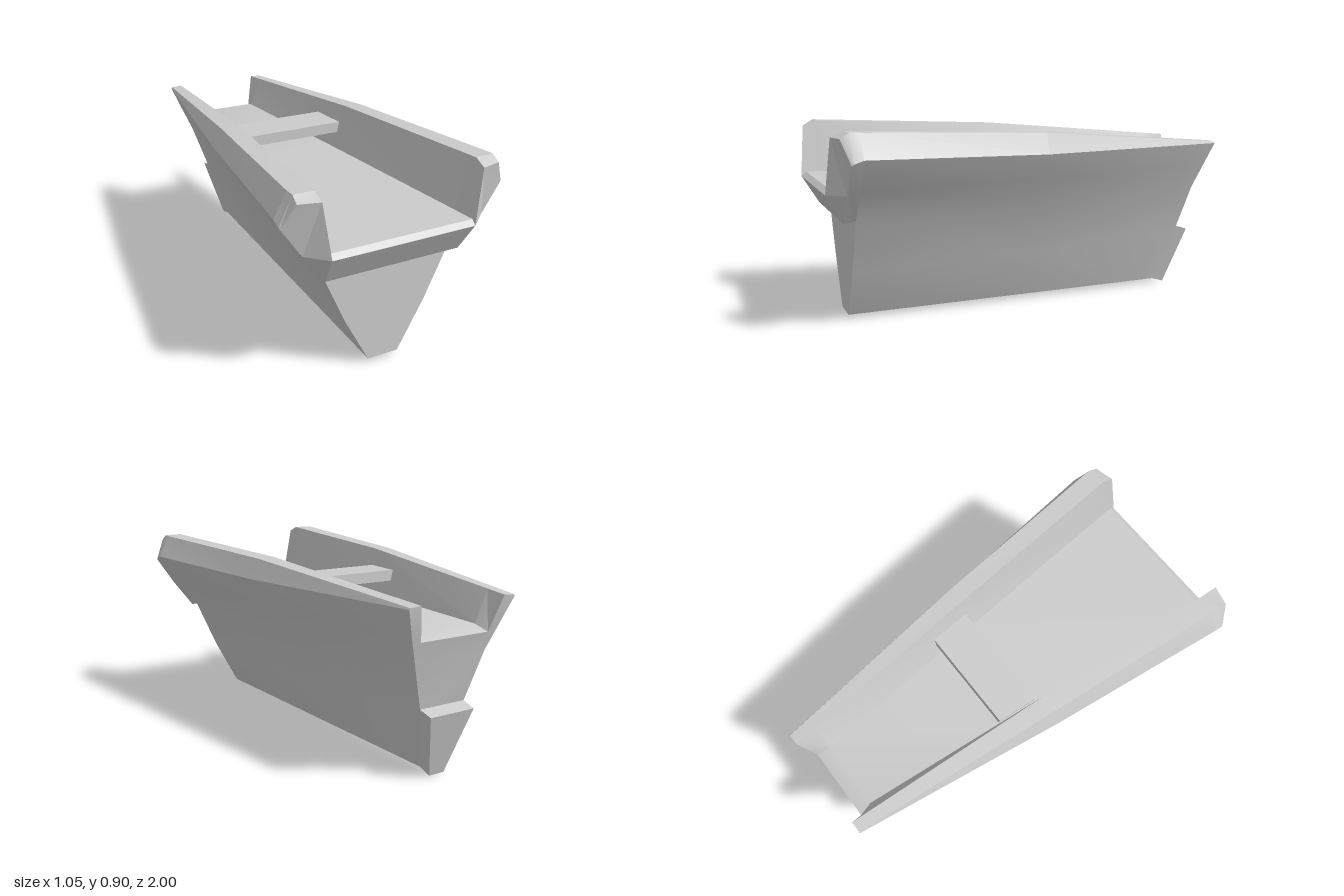
import * as THREE from 'three';
import { toCreasedNormals } from 'three/addons/utils/BufferGeometryUtils.js';

const material = new THREE.MeshStandardMaterial({ color: 0xcccccc });

// Loft of half sections (listed front to back), mirrored in x.
// Each section runs: [keel, bilge,] side, upper side, rail edge, top outer, top inner, floor.
function loft(sections) {
  const m = sections[0].length, n = 2 * m, c = m - 6;
  const positions = [], index = [];
  for (const s of sections) {
    for (const p of s) positions.push(...p);
    for (const [x, y, z] of [...s].reverse()) positions.push(-x, y, z);
  }
  for (let i = 0; i < sections.length - 1; i++) {
    for (let j = 0; j < n; j++) {
      const a = i * n + j, b = i * n + (j + 1) % n;
      index.push(a, a + n, b, b, a + n, b + n);
    }
  }
  // U-shaped end caps
  const mir = (j) => n - 1 - j;
  const cap = [];
  for (let j = 0; j < c; j++) cap.push([j, j + 1, mir(j + 1)], [j, mir(j + 1), mir(j)]);
  cap.push([c, c + 5, mir(c + 5)], [c, mir(c + 5), mir(c)]);
  for (const [a, b, d] of [[c, c + 1, c + 5], [c + 1, c + 4, c + 5], [c + 1, c + 2, c + 4], [c + 2, c + 3, c + 4]]) {
    cap.push([a, b, d], [mir(a), mir(d), mir(b)]);
  }
  const last = (sections.length - 1) * n;
  for (const [a, b, d] of cap) index.push(a, b, d, last + a, last + d, last + b);

  const g = new THREE.BufferGeometry();
  g.setAttribute('position', new THREE.Float32BufferAttribute(positions, 3));
  g.setIndex(index);
  return toCreasedNormals(g, 0.4);
}

// Box whose corners are placed by a rule on the signs of its axes
function shapedBox(rule) {
  const g = new THREE.BoxGeometry(2, 2, 2);
  const p = g.attributes.position;
  for (let i = 0; i < p.count; i++) p.setXYZ(i, ...rule(p.getX(i), p.getY(i), p.getZ(i)));
  g.computeVertexNormals();
  return g;
}

export function createModel() {
  const model = new THREE.Group();
  const add = (name, geometry) => {
    const mesh = new THREE.Mesh(geometry, material);
    mesh.name = name;
    model.add(mesh);
  };

  // Hull sections
  const atZ = (z, pts) => pts.map(([x, y]) => [x, y, z]);
  const front = atZ(0.87, [[0.075, 0.02], [0.2, 0.25], [0.318, 0.51], [0.432, 0.645],
    [0.525, 0.79], [0.468, 0.898], [0.375, 0.898], [0.334, 0.65]]);
  const middle = atZ(0, [[0.057, 0.02], [0.155, 0.26], [0.255, 0.52], [0.345, 0.65],
    [0.42, 0.77], [0.385, 0.866], [0.3, 0.868], [0.253, 0.65]]);
  const back = [[0.04, 0.02, -0.8], [0.115, 0.3, -0.885], [0.19, 0.54, -0.93], [0.237, 0.66, -0.965],
    [0.28, 0.775, -1], [0.276, 0.782, -1], [0.222, 0.785, -1], [0.18, 0.625, -0.955]];
  // Section where the floor starts to dip toward the stern
  const dip = middle.map((p, i) => p.map((v, k) => THREE.MathUtils.lerp(v, back[i][k], 0.89)));
  dip[7] = [0.166, 0.65, -0.89];
  add('hull', loft([front, middle, dip, back]));

  // Overhanging bow lip with bevelled rail ends
  const lipFront = [[0.323, 0.495, 0.92], [0.43, 0.635, 0.925], [0.522, 0.768, 0.92],
    [0.47, 0.875, 0.955], [0.376, 0.875, 0.978], [0.34, 0.63, 1]];
  const lipMiddle = [[0.322, 0.497, 0.915], [0.432, 0.64, 0.912], [0.525, 0.775, 0.912],
    [0.468, 0.9, 0.915], [0.378, 0.9, 0.92], [0.343, 0.65, 0.975]];
  add('bowLip', loft([lipFront, lipMiddle, front.slice(2)]));

  // Cross bench, narrowing toward the stern
  add('bench', shapedBox((x, y, z) => [
    x * (0.254 + 0.006 * y + 0.008 * z), y > 0 ? 0.787 : 0.735, z > 0 ? -0.015 : -0.21]));

  // Tapered stern post standing proud of the transom
  add('sternPost', shapedBox((x, y, z) => {
    if (y > 0) return z > 0 ? [x * 0.12, 0.32, -0.885] : [x * 0.118, 0.3, -0.955];
    return z > 0 ? [x * 0.04, 0.02, -0.8] : [x * 0.04, 0, -0.865];
  }));

  return model;
}
